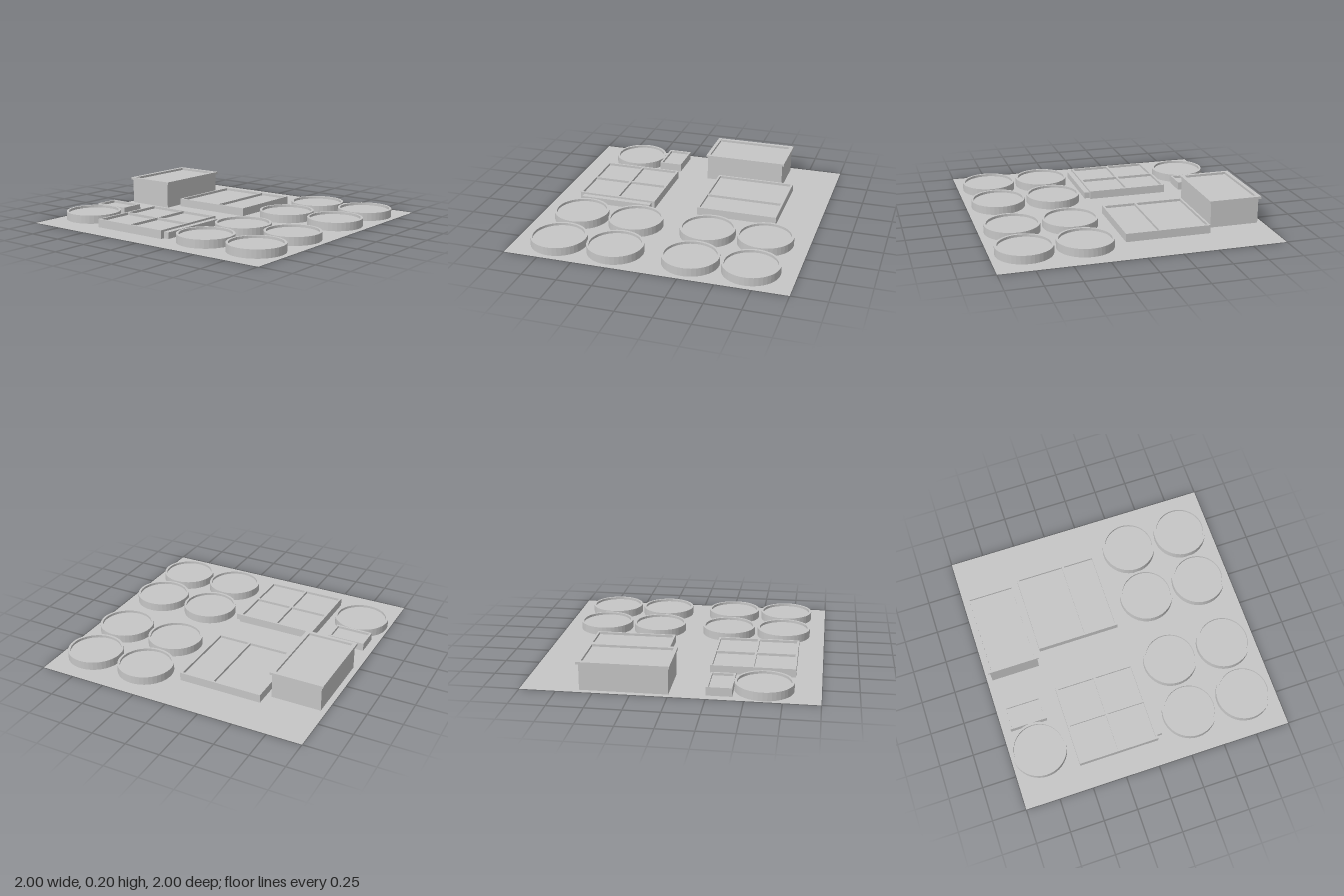
import * as THREE from 'three';

const grey = new THREE.MeshStandardMaterial({ color: 0xc6c6c6 });
grey.name = 'plain grey';
grey.flatShading = true;
grey.side = THREE.DoubleSide;

function add(parent, name, geometry, x = 0, y = 0, z = 0) {
  const mesh = new THREE.Mesh(geometry, grey);
  mesh.name = name;
  mesh.position.set(x, y, z);
  parent.add(mesh);
  return mesh;
}

// Rectangles are [x0, x1, z0, z1]
function block(parent, name, [x0, x1, z0, z1], y0, y1) {
  return add(parent, name, new THREE.BoxGeometry(x1 - x0, y1 - y0, z1 - z0),
    (x0 + x1) / 2, (y0 + y1) / 2, (z0 + z1) / 2);
}

function outline(path, [x0, x1, z0, z1]) {
  path.moveTo(x0, z0);
  path.lineTo(x1, z0);
  path.lineTo(x1, z1);
  path.lineTo(x0, z1);
  path.closePath();
  return path;
}

// Flat frame with rectangular openings, from y0 up to y1
function frame(parent, name, rect, cells, y0, y1) {
  const shape = outline(new THREE.Shape(), rect);
  for (const cell of cells) shape.holes.push(outline(new THREE.Path(), cell));
  const geometry = new THREE.ExtrudeGeometry(shape, { depth: y1 - y0, bevelEnabled: false });
  geometry.rotateX(Math.PI / 2);
  add(parent, name, geometry, 0, y1, 0);
}

// Shallow tray: rim and dividers around recessed floors
function tray(parent, name, rect, cells, height, recess) {
  const group = new THREE.Group();
  group.name = name;
  block(group, 'trayBody', rect, 0, height - recess);
  frame(group, 'trayRim', rect, cells, height - recess, height);
  parent.add(group);
  return group;
}

// Round dish with a raised rim
function dish(parent, name, x, z) {
  const profile = [[0.2, 0], [0.2, 0.06], [0.183, 0.06], [0.183, 0.042], [0, 0.042]]
    .map(([r, y]) => new THREE.Vector2(r, y));
  add(parent, name, new THREE.LatheGeometry(profile, 40), x, 0, z);
}

export function createModel() {
  const model = new THREE.Group();
  model.name = 'trayLayout';

  // Ground sheet
  add(model, 'groundSheet', new THREE.PlaneGeometry(2, 2).rotateX(-Math.PI / 2));

  // Two groups of four dishes
  for (const x of [-0.69, -0.27, 0.27, 0.69])
    for (const z of [0.34, 0.76]) dish(model, 'dish', x, z);

  // Rear dish joined to a small tray
  dish(model, 'rearDish', -0.62, -0.785);
  block(model, 'dishConnector', [-0.43, -0.41, -0.8, -0.77], 0, 0.05);
  tray(model, 'smallTray', [-0.42, -0.245, -0.94, -0.665],
    [[-0.405, -0.26, -0.925, -0.68]], 0.06, 0.018);

  // Four-cell tray with a front ledge
  const cells = [];
  for (const [x0, x1] of [[-0.805, -0.53], [-0.515, -0.24]])
    for (const [z0, z1] of [[-0.525, -0.25], [-0.235, 0.04]]) cells.push([x0, x1, z0, z1]);
  tray(model, 'fourCellTray', [-0.82, -0.225, -0.54, 0.055], cells, 0.06, 0.018);
  block(model, 'frontLedge', [-0.79, -0.25, 0.055, 0.095], 0, 0.046);

  // Two-cell tray
  tray(model, 'twoCellTray', [0.105, 0.7, -0.56, 0.055],
    [[0.12, 0.685, -0.545, -0.203], [0.12, 0.685, -0.187, 0.04]], 0.06, 0.018);

  // Tall box with an overhanging rim
  block(model, 'tallBoxBody', [0, 0.6, -0.96, -0.6], 0, 0.185);
  frame(model, 'tallBoxRim', [-0.01, 0.615, -0.975, -0.588],
    [[0.015, 0.585, -0.945, -0.62]], 0.184, 0.202);

  return model;
}
